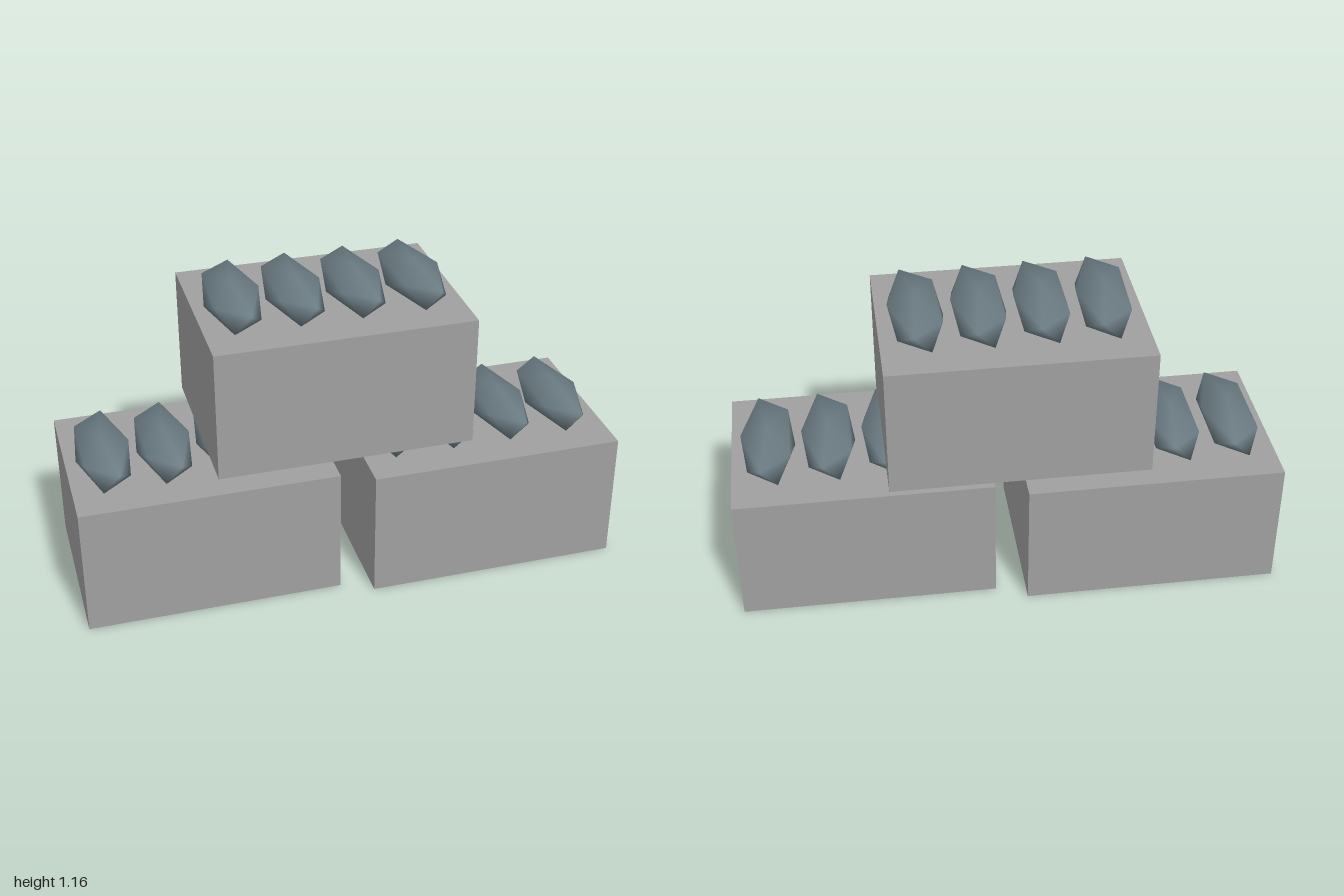
import * as THREE from 'three';

// Twenty-sided body stretched along z, with smooth normals
function fishGeometry(rx, ry, rz) {
  const pos = [0, ry, 0];
  const h = 0.447, r = 0.894;
  for (const [offset, level] of [[0, h], [Math.PI / 5, -h]]) {
    for (let k = 0; k < 5; k++) {
      const a = offset + (k * Math.PI * 2) / 5;
      pos.push(r * Math.cos(a) * rx, level * ry, r * Math.sin(a) * rz);
    }
  }
  pos.push(0, -ry, 0);
  const index = [];
  for (let k = 0; k < 5; k++) {
    const n = (k + 1) % 5;
    const u = 1 + k, un = 1 + n, l = 6 + k, ln = 6 + n;
    index.push(0, un, u, u, un, l, l, un, ln, 11, l, ln);
  }
  const g = new THREE.BufferGeometry();
  g.setAttribute('position', new THREE.Float32BufferAttribute(pos, 3));
  g.setIndex(index);
  g.computeVertexNormals();
  return g;
}

export function createModel() {
  const model = new THREE.Group();
  model.name = 'stackedFishCrates';

  const crateGrey = new THREE.MeshStandardMaterial({ color: 0xa0a0a0 });
  crateGrey.name = 'crateGrey';
  const fishSlate = new THREE.MeshStandardMaterial({ color: 0x6a7b82 });
  fishSlate.name = 'fishSlate';

  const W = 0.943, H = 0.49, D = 0.667;
  const crateGeo = new THREE.BoxGeometry(W, H, D);
  const fishGeo = fishGeometry(0.11, 0.067, 0.276);

  // One crate with four fish sunk slightly into its top
  function addCrate(name, x, y, z, turns) {
    const group = new THREE.Group();
    group.name = name;
    group.position.set(x, y, z);
    const crate = new THREE.Mesh(crateGeo, crateGrey);
    crate.name = 'crate';
    crate.position.y = H / 2;
    group.add(crate);
    turns.forEach((turn, i) => {
      const fish = new THREE.Mesh(fishGeo, fishSlate);
      fish.name = 'fish';
      fish.position.set(-0.334 + i * 0.2225, H + 0.045, 0);
      fish.rotation.y = turn;
      group.add(fish);
    });
    model.add(group);
  }

  addCrate('rightCrate', -0.5285, 0, -0.03, [0, 0, 0, 0]);
  addCrate('leftCrate', 0.5285, 0, 0.028, [0, 0, 0, 0]);
  addCrate('topCrate', -0.03, 0.556, -0.03, [-0.04, 0, 0, 0.03]);
  return model;
}
